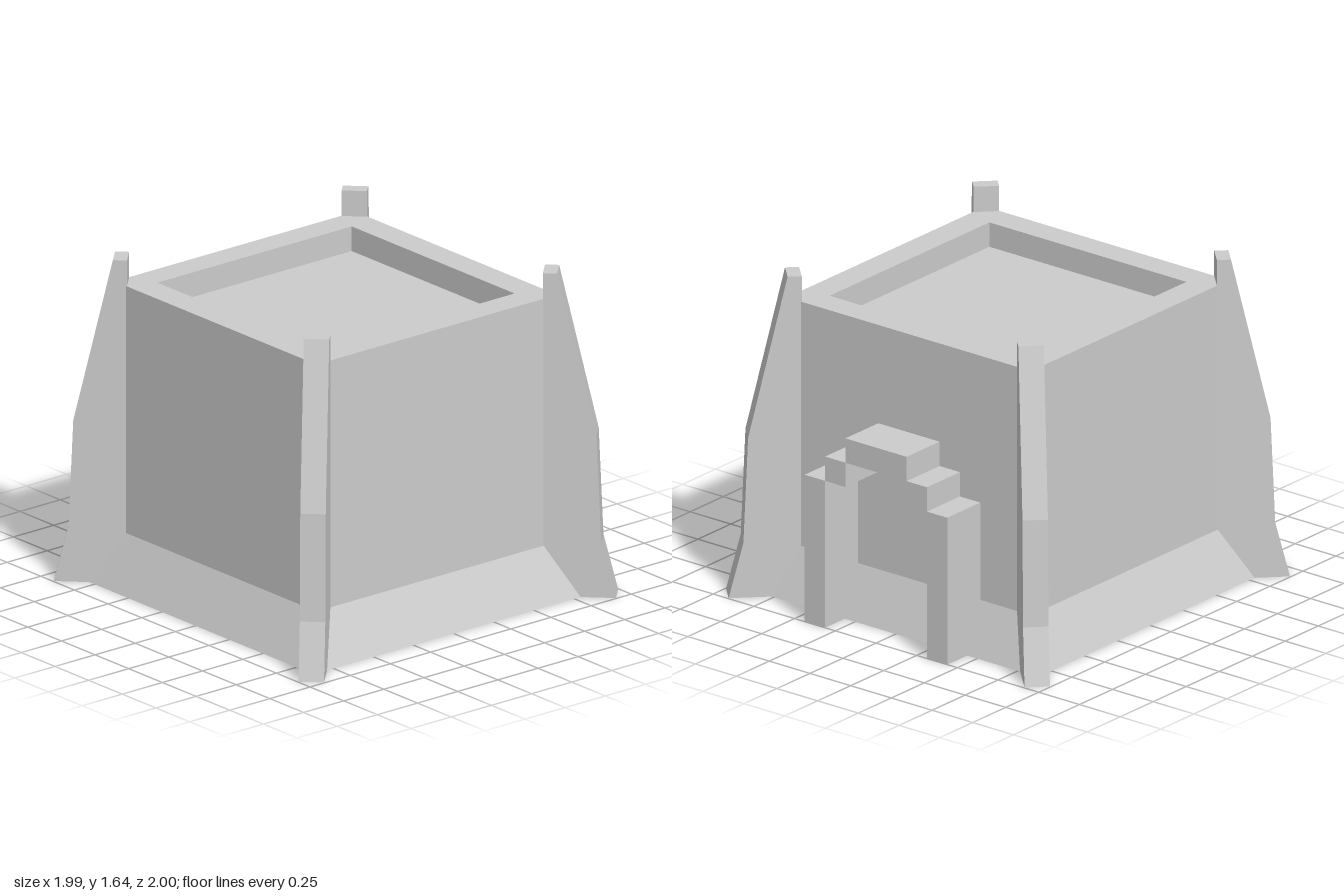
import * as THREE from 'three';

const material = new THREE.MeshStandardMaterial({ color: 0xcccccc, flatShading: true });

function addMesh(parent, geometry, name) {
  const mesh = new THREE.Mesh(geometry, material);
  mesh.name = name;
  parent.add(mesh);
  return mesh;
}

// Stack of rectangular rings [halfX, y, backZ, frontZ], capped at both ends
function ringStack(rings) {
  const points = [];
  const index = [];
  for (const [x, y, back, front] of rings) {
    points.push(-x, y, front, x, y, front, x, y, back, -x, y, back);
  }
  for (let r = 0; r < rings.length - 1; r++) {
    for (let i = 0; i < 4; i++) {
      const a = r * 4 + i;
      const b = r * 4 + (i + 1) % 4;
      index.push(a, b, b + 4, a, b + 4, a + 4);
    }
  }
  const t = (rings.length - 1) * 4;
  index.push(0, 2, 1, 0, 3, 2, t, t + 1, t + 2, t, t + 2, t + 3);
  const indexed = new THREE.BufferGeometry();
  indexed.setAttribute('position', new THREE.Float32BufferAttribute(points, 3));
  indexed.setIndex(index);
  const geometry = indexed.toNonIndexed();
  geometry.computeVertexNormals();
  return geometry;
}

export function createModel() {
  const model = new THREE.Group();
  model.name = 'tower';

  // Main block: flared foot, straight walls, rim and sunken roof
  addMesh(model, ringStack([
    [0.875, 0, -0.85, 0.875],
    [0.75, 0.255, -0.75, 0.75],
    [0.75, 1.51, -0.75, 0.75],
    [0.605, 1.51, -0.605, 0.605],
    [0.605, 1.385, -0.605, 0.605],
  ]), 'body');

  // Diagonal corner buttresses, drawn as a profile of distance from the axis and height
  const thickness = 0.122;
  const profile = [
    [0.704, 0], [0.952, 0], [0.902, 0.28], [0.886, 0.82], [0.752, 1.64], [0.704, 1.64],
  ].map(([d, y]) => new THREE.Vector2(d * Math.SQRT2, y));
  const finGeometry = new THREE.ExtrudeGeometry(new THREE.Shape(profile), {
    depth: thickness, bevelEnabled: false,
  });
  finGeometry.translate(0, 0, -thickness / 2);
  for (let i = 0; i < 4; i++) {
    const fin = addMesh(model, finGeometry, 'cornerButtress');
    fin.rotation.y = Math.PI / 4 + i * Math.PI / 2;
  }

  // Stepped doorway frame on the back wall
  const doorway = new THREE.Group();
  doorway.name = 'doorway';
  model.add(doorway);
  const block = (name, x0, x1, y0, y1) => {
    const geometry = new THREE.BoxGeometry(x1 - x0, y1 - y0, 0.25);
    addMesh(doorway, geometry, name).position.set((x0 + x1) / 2, (y0 + y1) / 2, -0.875);
  };
  for (const side of [-1, 1]) {
    const mirrored = (name, a, b, y0, y1) =>
      block(name, Math.min(side * a, side * b), Math.max(side * a, side * b), y0, y1);
    mirrored('doorPost', 0.313, 0.438, 0, 0.755);
    mirrored('doorStep', 0.188, 0.313, 0.755, 0.88);
  }
  block('doorLintel', -0.188, 0.188, 0.88, 1.005);

  return model;
}
